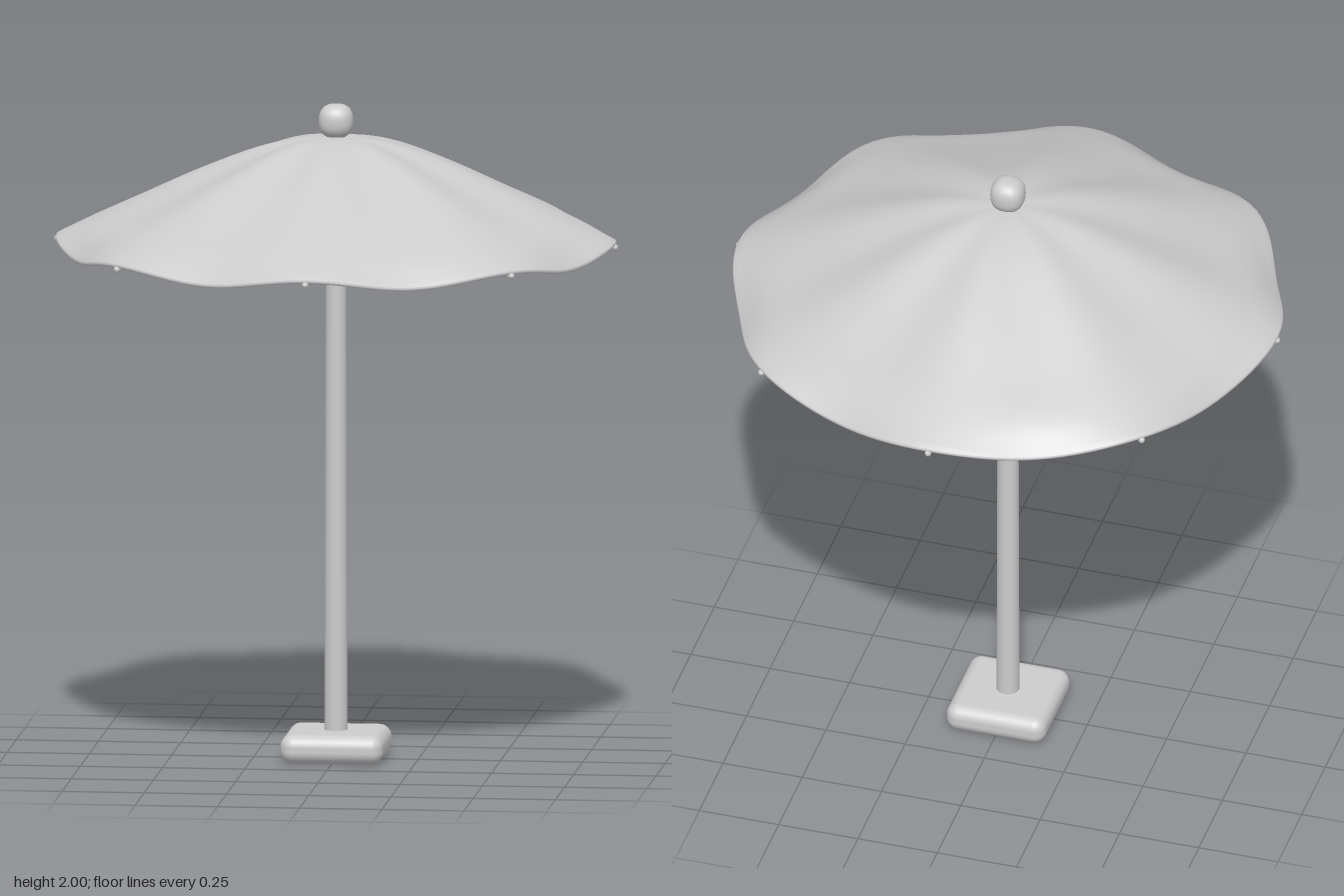
import * as THREE from 'three';
import { RoundedBoxGeometry } from 'three/addons/geometries/RoundedBoxGeometry.js';

const RIBS = 8;
const curve = (pts) => new THREE.CatmullRomCurve3(pts.map(([r, y]) => new THREE.Vector3(r, y, 0)));

// Canopy profiles (radius, height): along a rib, and midway between two ribs
const ribLine = curve([[0, 1.902], [0.1, 1.896], [0.22, 1.87], [0.4, 1.802], [0.6, 1.71], [0.76, 1.635], [0.848, 1.592]]);
const sagLine = curve([[0, 1.902], [0.1, 1.894], [0.22, 1.86], [0.4, 1.782], [0.6, 1.69], [0.74, 1.625], [0.815, 1.56]]);

// Thin closed cloth shell: out over the top, round the rim, back underneath
function canopyGeometry() {
  const rings = 28, segs = RIBS * 16, thick = 0.012;
  const loop = [];
  for (let i = 0; i <= rings; i++) loop.push([i / rings, 0, 0]);
  loop.push([1, 0.003, thick / 2]);
  for (let i = rings; i >= 0; i--) loop.push([i / rings, 0, thick]);

  const pos = [], index = [];
  for (const [t, out, drop] of loop) {
    const a = ribLine.getPoint(t), b = sagLine.getPoint(t);
    for (let j = 0; j < segs; j++) {
      const ang = (j / segs) * Math.PI * 2;
      const p = a.clone().lerp(b, 0.5 - 0.5 * Math.cos(RIBS * ang));
      const r = p.x + out;
      pos.push(r * Math.cos(ang), p.y - drop, r * Math.sin(ang));
    }
  }
  for (let i = 0; i < loop.length - 1; i++) {
    for (let j = 0; j < segs; j++) {
      const k = (j + 1) % segs;
      const a = i * segs + j, b = i * segs + k, c = a + segs, d = b + segs;
      index.push(a, b, c, b, d, c);
    }
  }
  const g = new THREE.BufferGeometry();
  g.setAttribute('position', new THREE.Float32BufferAttribute(pos, 3));
  g.setIndex(index);
  g.computeVertexNormals();
  return g;
}

// Ball with slightly squared sides
function finialGeometry(radius) {
  const g = new THREE.SphereGeometry(1, 32, 24);
  const p = g.attributes.position, v = new THREE.Vector3(), n = 2.5;
  for (let i = 0; i < p.count; i++) {
    v.fromBufferAttribute(p, i);
    const len = (Math.abs(v.x) ** n + Math.abs(v.y) ** n + Math.abs(v.z) ** n) ** (1 / n);
    v.multiplyScalar(radius / len);
    p.setXYZ(i, v.x, v.y, v.z);
  }
  g.computeVertexNormals();
  return g;
}

export function createModel() {
  const group = new THREE.Group();
  const grey = new THREE.MeshStandardMaterial({ color: 0xcccccc });
  grey.name = 'light grey';
  const add = (name, geometry, y = 0, parent = group) => {
    const m = new THREE.Mesh(geometry, grey);
    m.name = name;
    m.position.y = y;
    parent.add(m);
    return m;
  };

  // Base and pole
  add('base', new RoundedBoxGeometry(0.312, 0.088, 0.312, 6, 0.038), 0.044);
  add('pole', new THREE.CylinderGeometry(0.03, 0.035, 1.81, 32), 0.98);

  // Canopy and finial
  add('canopy', canopyGeometry());
  add('finial', finialGeometry(0.052), 1.948);

  // Ribs under the cloth, with rounded ends
  const ribPoints = [];
  for (let i = 0; i <= 16; i++) {
    const p = ribLine.getPoint(0.13 + 0.87 * (i / 16));
    p.y -= 0.017;
    ribPoints.push(p);
  }
  const ribCurve = new THREE.CatmullRomCurve3(ribPoints);
  const tube = new THREE.TubeGeometry(ribCurve, 32, 0.01, 10);
  const tip = new THREE.SphereGeometry(0.01, 10, 8);
  for (let i = 0; i < RIBS; i++) {
    const rib = new THREE.Group();
    rib.name = 'rib';
    rib.rotation.y = (i / RIBS) * Math.PI * 2;
    add('ribRod', tube, 0, rib);
    for (const end of [ribPoints[0], ribPoints[16]]) add('ribTip', tip, 0, rib).position.copy(end);
    group.add(rib);
  }
  return group;
}
